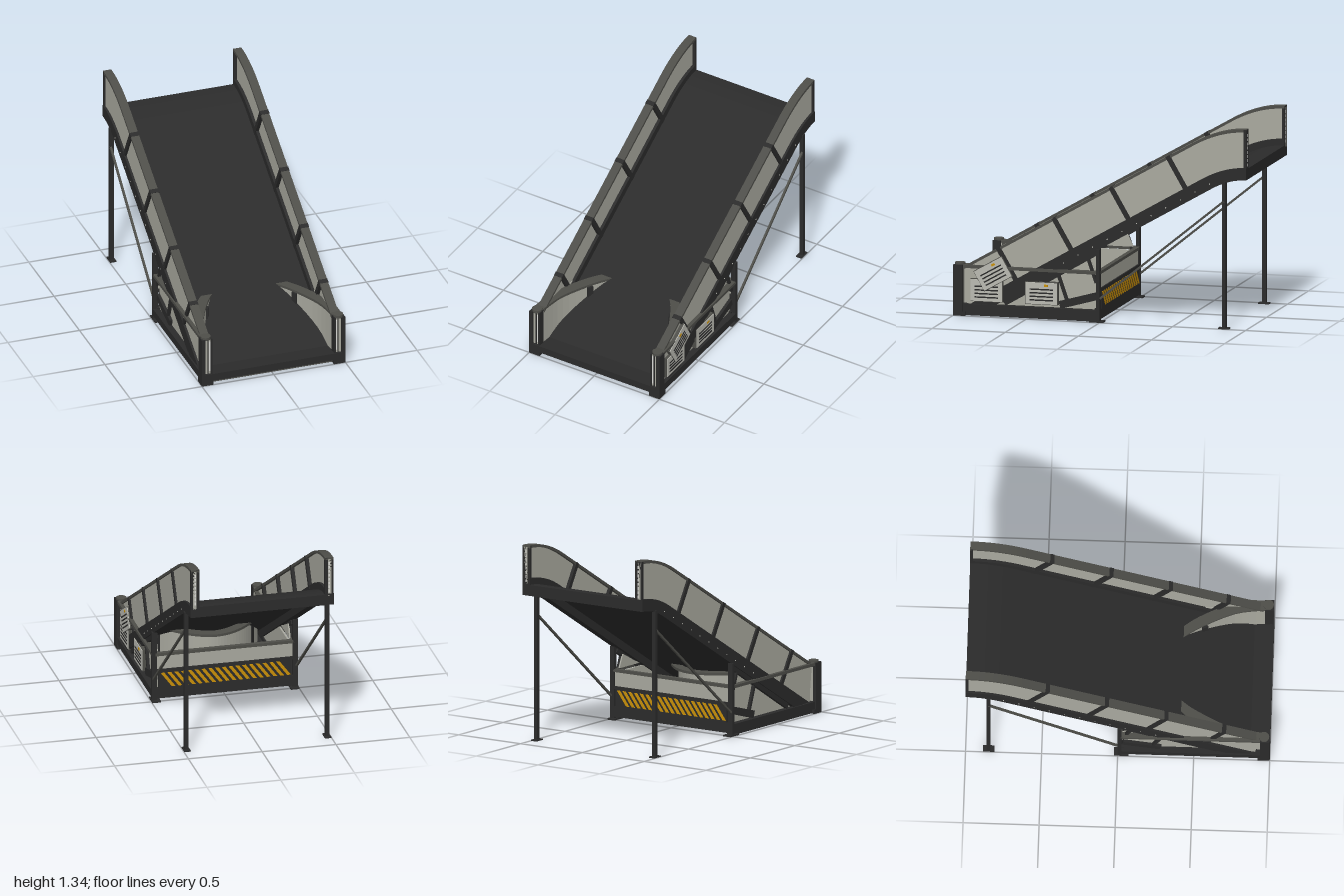
import * as THREE from 'three';

const mat = (name, color) => {
  const m = new THREE.MeshStandardMaterial({ color });
  m.name = name;
  return m;
};

export function createModel() {
  const root = new THREE.Group();
  root.name = 'conveyorRamp';
  const dark = mat('charcoal', 0x2b2b2b);
  const frame = mat('frame grey', 0x4e4e49);
  const pane = mat('panel grey', 0xa9a99f);
  const casing = mat('casing grey', 0xbabab2);
  const yellow = mat('warning yellow', 0xc99008);
  const light = mat('light strip', 0xdcdcd8);

  const add = (name, geo, m, parent = root) => {
    const mesh = new THREE.Mesh(geo, m);
    mesh.name = name;
    parent.add(mesh);
    return mesh;
  };
  // Box given by its extents
  const box = (name, m, x0, x1, y0, y1, z0, z1, parent) => {
    const b = add(name, new THREE.BoxGeometry(Math.abs(x1 - x0), y1 - y0, z1 - z0), m, parent);
    b.position.set((x0 + x1) / 2, (y0 + y1) / 2, (z0 + z1) / 2);
    return b;
  };
  // Side outline of [z, y] points extruded from x0 to x1
  const slab = (name, m, pts, x0, x1) => {
    const shape = new THREE.Shape(pts.map(([z, y]) => new THREE.Vector2(-z, y)));
    const geo = new THREE.ExtrudeGeometry(shape, { depth: Math.abs(x1 - x0), bevelEnabled: false });
    geo.rotateY(Math.PI / 2).translate(Math.min(x0, x1), 0, 0);
    return add(name, geo, m);
  };
  // Straight bar between two [z, y] points in the side plane
  const bar = (name, m, a, b, w, x0, x1) => {
    const dz = b[0] - a[0], dy = b[1] - a[1], l = Math.hypot(dz, dy);
    const mesh = add(name, new THREE.BoxGeometry(Math.abs(x1 - x0), w, l), m);
    mesh.position.set((x0 + x1) / 2, (a[1] + b[1]) / 2, (a[0] + b[0]) / 2);
    mesh.rotation.x = -Math.atan2(dy, dz);
    return mesh;
  };

  // Lines along the ramp: 30 degree climb that levels out at the rear
  const SLOPE = 0.577;
  const line = (c, z0, yEnd) => {
    const zc = (c - yEnd) / SLOPE, zs = 2 * zc + 1;
    const curve = new THREE.QuadraticBezierCurve(
      new THREE.Vector2(zs, c - SLOPE * zs), new THREE.Vector2(zc, yEnd), new THREE.Vector2(-1, yEnd));
    return [[z0, c - SLOPE * z0], ...curve.getPoints(12).map(p => [p.x, p.y])];
  };
  const band = (top, bottom) => [...top, ...bottom.reverse()];

  // Belt deck
  slab('beltDeck', dark, band([[1, 0.075], ...line(0.578, 0.872, 1.073)], [[1, 0.05], ...line(0.55, 0.866, 1.045)]), -0.43, 0.43);
  box('rearRoller', dark, -0.43, 0.43, 1.0, 1.07, -1, -0.975);

  for (const s of [1, -1]) {
    // Side walls of the ramp
    slab('sideBeam', dark, band(line(0.592, 0.88, 1.08), line(0.492, 0.72, 1.0)), s * 0.425, s * 0.485);
    slab('sidePanel', pane, band(line(0.85, 0.93, 1.325), line(0.57, 0.9, 1.06)), s * 0.445, s * 0.47);
    slab('topRail', frame, band(line(0.866, 0.93, 1.337), line(0.846, 0.93, 1.319)), s * 0.425, s * 0.482);
    slab('innerCurb', dark, band(line(0.635, 0.88, 1.115), line(0.585, 0.88, 1.07)), s * 0.425, s * 0.45);
    for (const z of [0.7, 0.32, -0.07, -0.46])
      bar('panelRib', dark, [z, 0.868 - SLOPE * z], [z - 0.13, 0.868 - SLOPE * z - 0.223], 0.03, s * 0.423, s * 0.484);
    box('rearEndPost', dark, s * 0.425, s * 0.483, 1.0, 1.335, -1, -0.982);
    for (let i = 0; i < 8; i++)
      box('rearLight', light, s * 0.45, s * 0.458, 1.09 + i * 0.028, 1.108 + i * 0.028, -1.003, -0.999);
    for (let i = 0; i < 12; i++) {
      const z = 0.35 - i * 0.1, bolt = add('beamBolt', new THREE.CylinderGeometry(0.004, 0.004, 0.004, 8), casing);
      bolt.rotation.z = Math.PI / 2;
      bolt.position.set(s * 0.486, 0.53 - SLOPE * z, z);
    }

    // Rear legs with braces
    box('rearLeg', dark, s * 0.465, s * 0.492, 0, 0.985, -0.862, -0.836);
    box('legFoot', dark, s * 0.455, s * 0.498, 0, 0.008, -0.885, -0.81);
    bar('legBrace', frame, [0, 0.16], [-0.85, 0.855], 0.014, s * 0.478, s * 0.492);

    // Base side frame
    box('baseSideBeam', dark, s * 0.43, s * 0.495, 0.03, 0.08, 0.0, 1);
    box('baseSideSkirt', dark, s * 0.44, s * 0.48, 0.003, 0.032, 0.02, 0.93);
    box('frontFoot', dark, s * 0.42, s * 0.5, 0, 0.03, 0.92, 1);
    box('backFoot', dark, s * 0.44, s * 0.498, 0, 0.01, -0.025, 0.07);
    box('frontPost', dark, s * 0.475, s * 0.5, 0.03, 0.34, 0.935, 1);
    box('frontPostInner', dark, s * 0.425, s * 0.436, 0.03, 0.34, 0.94, 0.995);
    box('frontPostCore', pane, s * 0.436, s * 0.475, 0.08, 0.335, 0.94, 0.985);
    box('frontLight', light, s * 0.438, s * 0.446, 0.1, 0.32, 0.984, 0.99);
    box('frontPostSeam', dark, s * 0.45, s * 0.456, 0.08, 0.335, 0.984, 0.99);
    const cap = add('postCap', new THREE.CylinderGeometry(0.034, 0.034, 0.02, 24), frame);
    cap.position.set(s * 0.462, 0.343, 0.962);
    box('backPost', dark, s * 0.46, s * 0.495, 0, 0.49, 0, 0.025);
    box('baseTopRail', frame, s * 0.455, s * 0.495, 0.32, 0.34, 0.02, 0.94);
    box('baseSidePanel', pane, s * 0.44, s * 0.452, 0.08, 0.32, 0.03, 0.935);
    slab('supportGusset', pane, [[0.28, 0.34], [0.22, 0.36], [0.08, 0.43], [0.04, 0.34]], s * 0.445, s * 0.455);
    bar('baseBrace', dark, [0.66, 0.1], [0.03, 0.47], 0.05, s * 0.452, s * 0.476);
    bar('lowerBrace', dark, [0.28, 0.1], [0.03, 0.17], 0.05, s * 0.452, s * 0.472);
    bar('gussetBrace', dark, [0.29, 0.3], [0.22, 0.1], 0.02, s * 0.452, s * 0.472);
    bar('backStay', dark, [0.09, 0.43], [0.03, 0.26], 0.018, s * 0.452, s * 0.476);
  }

  // Base front, floor and back
  box('frontBeam', dark, -0.5, 0.5, 0.03, 0.08, 0.97, 1);
  box('frontSkirt', frame, -0.42, 0.42, 0.005, 0.03, 0.95, 0.97);
  box('floorPlate', dark, -0.44, 0.44, 0.04, 0.052, 0.02, 0.97);
  box('backBeam', dark, -0.47, 0.47, 0.02, 0.09, 0, 0.04);
  box('backMidBeam', dark, -0.47, 0.47, 0.205, 0.225, 0, 0.03);
  box('backTopRail', frame, -0.47, 0.47, 0.32, 0.34, 0, 0.03);
  box('backPanel', pane, -0.46, 0.46, 0.22, 0.32, 0.01, 0.02);
  box('hazardBoard', dark, -0.45, 0.45, 0.09, 0.207, 0, 0.015);
  for (let i = 0; i < 18; i++) {
    const x = -0.445 + i * 0.046;
    const stripe = new THREE.Shape([[x, 0.1], [x + 0.025, 0.1], [x + 0.1, 0.2], [x + 0.075, 0.2]]
      .map(p => new THREE.Vector2(...p)));
    add('hazardStripe', new THREE.ExtrudeGeometry(stripe, { depth: 0.004, bevelEnabled: false }), yellow).position.z = -0.004;
  }

  // Curved guide arch around the lower end of the belt, in plan
  const archHalf = [[0.43, 0.95], [0.40, 0.75], [0.30, 0.53], [0.21, 0.40], [0.1, 0.32], [0, 0.29]];
  const outerHalf = [[0.455, 0.95], [0.455, 0.72], [0.39, 0.55], [0.29, 0.40], [0.15, 0.27], [0, 0.22]];
  const archCurve = t => {
    const half = archHalf.map(([x, z], i) => [x + (outerHalf[i][0] - x) * t, z + (outerHalf[i][1] - z) * t]);
    const full = [...half, ...half.slice(0, -1).reverse().map(([x, z]) => [-x, z])];
    return new THREE.SplineCurve(full.map(([x, z]) => new THREE.Vector2(x, -z))).getPoints(48);
  };
  const arch = (name, m, t, y0, y1) => {
    const shape = new THREE.Shape([...archCurve(0), ...archCurve(t).reverse()]);
    const geo = new THREE.ExtrudeGeometry(shape, { depth: y1 - y0, bevelEnabled: false });
    add(name, geo.rotateX(-Math.PI / 2).translate(0, y0, 0), m);
  };
  arch('guideWall', pane, 0.15, 0.052, 0.325);
  arch('guideRim', frame, 1, 0.324, 0.341);
  arch('guideFoot', frame, 0.5, 0.025, 0.042);
  for (const s of [1, -1]) {
    const rib = box('guideRib', dark, s * 0.296, s * 0.326, 0.06, 0.326, 0.525, 0.565);
    rib.rotation.y = s * 0.5;
  }

  // Control cabinets with vents on the left side
  for (const [z, y, tilt] of [[0.775, 0.175, 0], [0.73, 0.29, 0.52], [0.4, 0.175, 0]]) {
    const cabinet = new THREE.Group();
    cabinet.name = 'controlCabinet';
    cabinet.position.set(tilt ? 0.476 : 0.47, y, z);
    cabinet.rotation.x = tilt;
    root.add(cabinet);
    box('cabinetBody', frame, -0.02, 0.016, -0.076, 0.076, -0.111, 0.111, cabinet);
    box('cabinetDoor', casing, 0.016, 0.021, -0.072, 0.072, -0.107, 0.107, cabinet);
    for (let i = 0; i < 4; i++)
      box('vent', dark, 0.021, 0.024, -0.05 + i * 0.024, -0.041 + i * 0.024, -0.08, 0.08, cabinet);
    box('warningLabel', yellow, 0.021, 0.024, 0.045, 0.06, -0.045, -0.02, cabinet);
  }
  return root;
}
